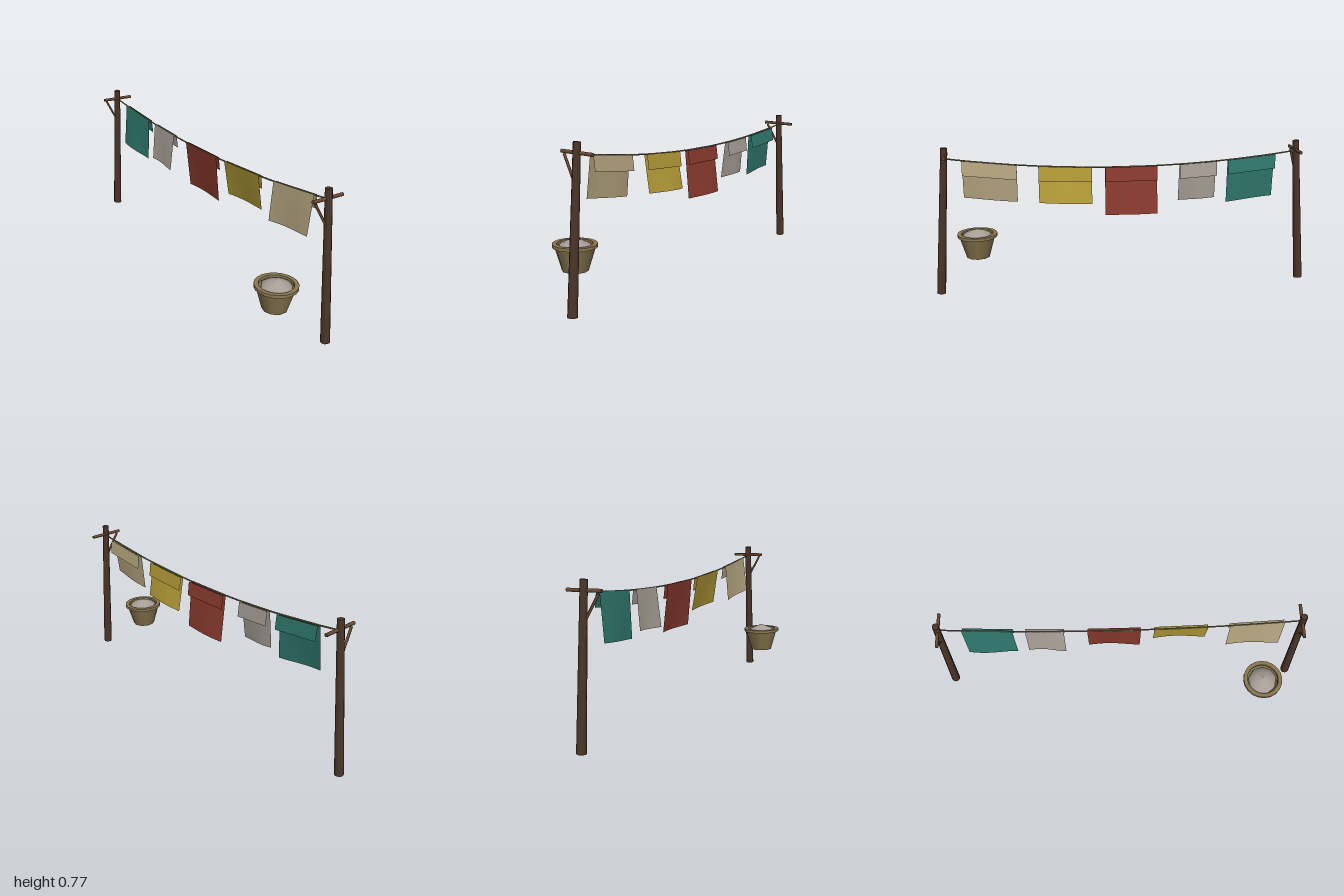
import * as THREE from 'three';

const material = (name, color, extra = {}) => {
  const m = new THREE.MeshStandardMaterial({ color, ...extra });
  m.name = name;
  return m;
};

const LINE_Z = -0.087;
const ropeY = (x) => 0.655 + 0.065 * (x / 0.92) ** 2;

export function createModel() {
  const model = new THREE.Group();
  model.name = 'clothesline';
  const double = { side: THREE.DoubleSide };
  const darkWood = material('dark wood', 0x4b3528);
  const lightWood = material('light wood', 0x6b4a32);
  const ropeMat = material('rope', 0x7a6f52);
  const wicker = material('wicker', 0x8a7850, double);
  const teal = material('teal cloth', 0x2f776c, double);
  const grey = material('pale grey cloth', 0xa89f97, double);
  const red = material('red cloth', 0x8a3a2e, double);
  const yellow = material('yellow cloth', 0xb59c38, double);
  const beige = material('beige cloth', 0xb5a580, double);

  const add = (parent, name, geometry, mat) => {
    const mesh = new THREE.Mesh(geometry, mat);
    mesh.name = name;
    parent.add(mesh);
    return mesh;
  };

  // Tapered round bar between two points
  const bar = (parent, name, a, b, ra, rb, sides, mat) => {
    const from = new THREE.Vector3(...a), to = new THREE.Vector3(...b);
    const dir = to.clone().sub(from);
    const mesh = add(parent, name, new THREE.CylinderGeometry(rb, ra, dir.length(), sides), mat);
    mesh.position.copy(from).add(to).multiplyScalar(0.5);
    mesh.quaternion.setFromUnitVectors(new THREE.Vector3(0, 1, 0), dir.normalize());
    return mesh;
  };

  // Leaning posts, each with a cross arm and a brace on the front side
  for (const s of [-1, 1]) {
    const post = new THREE.Group();
    post.name = s > 0 ? 'leftPost' : 'rightPost';
    bar(post, 'pole', [s * 0.976, 0.002, -0.084], [s * 0.919, 0.774, -0.084], 0.0235, 0.0175, 10, darkWood);
    bar(post, 'crossArm', [s * 0.919, 0.728, 0.008], [s * 0.919, 0.722, -0.175], 0.0088, 0.0088, 7, lightWood);
    bar(post, 'brace', [s * 0.92, 0.716, -0.008], [s * 0.93, 0.6, -0.072], 0.0065, 0.0065, 6, lightWood);
    model.add(post);
  }

  // Sagging rope
  const ropePoints = [];
  for (let i = 0; i <= 16; i++) {
    const x = -0.92 + (1.84 * i) / 16;
    ropePoints.push(new THREE.Vector3(x, ropeY(x), LINE_Z));
  }
  add(model, 'rope', new THREE.TubeGeometry(new THREE.CatmullRomCurve3(ropePoints), 32, 0.004, 6), ropeMat);

  // Sheet whose vertices follow place(u, t): u across, t from top to bottom
  const sheet = (cols, rows, place) => {
    const g = new THREE.PlaneGeometry(1, 1, cols, rows);
    const p = g.attributes.position;
    for (let i = 0; i < p.count; i++) p.setXYZ(i, ...place(p.getX(i) + 0.5, 0.5 - p.getY(i)));
    g.computeVertexNormals();
    return g;
  };

  // Washing: long front panel that swings in the wind, short flap behind the rope
  const cloths = [
    ['tealCloth', -0.805, -0.55, 0.236, 0.022, 0.4, teal],
    ['greyCloth', -0.487, -0.29, 0.204, 0.024, 3.4, grey],
    ['redCloth', -0.17, 0.105, 0.255, -0.025, 3.2, red],
    ['yellowCloth', 0.175, 0.45, 0.192, -0.03, 3.0, yellow],
    ['beigeCloth', 0.56, 0.835, 0.202, 0.025, 3.3, beige],
  ];
  for (const [name, x0, x1, height, swing, phase, mat] of cloths) {
    const cloth = new THREE.Group();
    cloth.name = name;
    const topY = (u) => THREE.MathUtils.lerp(ropeY(x0), ropeY(x1), u) + 0.002;
    const across = (u) => THREE.MathUtils.lerp(x0, x1, u);
    add(cloth, 'frontPanel', sheet(8, 6, (u, t) => [
      across(u),
      topY(u) - height * t,
      LINE_Z + 0.005 * (1 - t) + swing * t + 0.007 * t * Math.sin(u * 4.2 + phase),
    ]), mat);
    add(cloth, 'backFlap', sheet(4, 2, (u, t) => [
      across(u), topY(u) - 0.002 - 0.075 * t, -0.1 - 0.009 * t,
    ]), mat);
    model.add(cloth);
  }

  // Laundry basket: tapered wall, floor, thick rim
  const basket = new THREE.Group();
  basket.name = 'basket';
  basket.position.set(0.785, 0.147, 0.072);
  basket.rotation.x = -0.02;
  const wall = add(basket, 'wall', new THREE.CylinderGeometry(0.098, 0.063, 0.118, 10, 1, true), wicker);
  wall.position.y = 0.059;
  const floor = add(basket, 'floor', new THREE.CylinderGeometry(0.063, 0.063, 0.004, 10), wicker);
  floor.position.y = 0.002;
  const rimShape = new THREE.Shape().absarc(0, 0, 0.107, 0, Math.PI * 2);
  rimShape.holes.push(new THREE.Path().absarc(0, 0, 0.085, 0, Math.PI * 2, true));
  const rim = add(basket, 'rim', new THREE.ExtrudeGeometry(rimShape, {
    depth: 0.016, bevelEnabled: false, curveSegments: 10,
  }), wicker);
  rim.rotation.set(-Math.PI / 2, 0, Math.PI / 2);
  rim.position.y = 0.115;

  // Heap of washing inside the basket
  const heap = add(basket, 'laundryHeap', new THREE.LatheGeometry([
    [0.078, 0.1], [0.074, 0.128], [0.04, 0.143], [0, 0.156],
  ].map(([r, y]) => new THREE.Vector2(r, y)), 9), grey);
  heap.rotation.y = 0.3;
  model.add(basket);

  return model;
}
